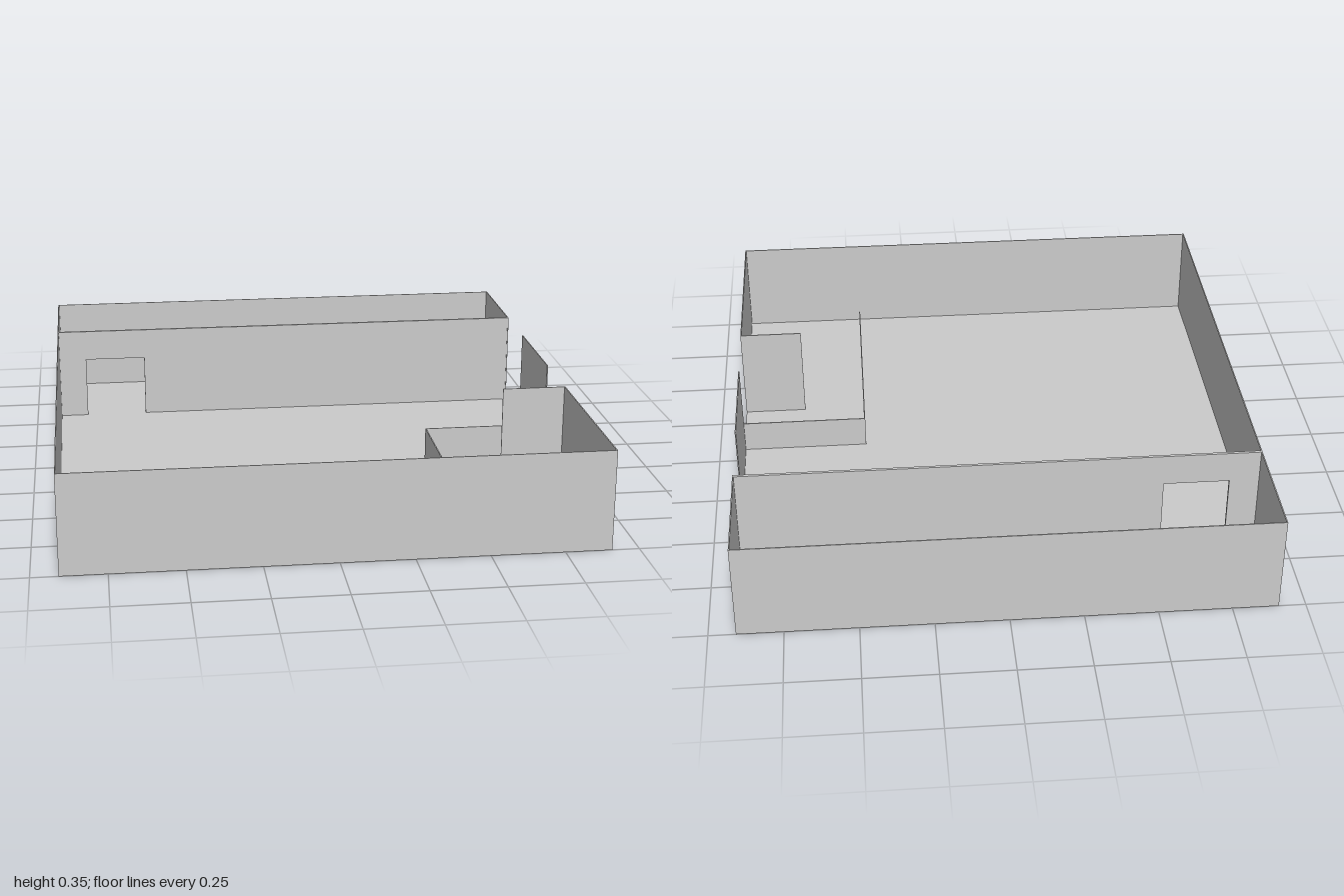
import * as THREE from 'three';

const W = 0.908; // half width
const H = 0.35; // wall height
const T = 0.004; // sheet thickness

export function createModel() {
  const model = new THREE.Group();
  const material = new THREE.MeshStandardMaterial({ color: 0xcccccc, flatShading: true });

  // Axis-aligned slab given by its limits
  function slab(name, x0, x1, y0, y1, z0, z1) {
    const mesh = new THREE.Mesh(new THREE.BoxGeometry(x1 - x0, y1 - y0, z1 - z0), material);
    mesh.position.set((x0 + x1) / 2, (y0 + y1) / 2, (z0 + z1) / 2);
    mesh.name = name;
    model.add(mesh);
  }

  slab('floor', -W, W, 0, T, -1, 1);

  // Outer walls; the left side has two full-height openings
  slab('frontWall', -W, W, 0, H, 1 - T, 1);
  slab('backWall', -W, W, 0, H, -1, -1 + T);
  slab('rightWall', -W, -W + T, 0, H, -1, 1);
  [[0.325, 1], [-0.33, 0.07], [-1, -0.585]].forEach(([z0, z1], i) =>
    slab(`leftWall${i + 1}`, W - T, W, 0, H, z0, z1));

  // Partition with a doorway near its right end
  const outline = new THREE.Shape([
    [-W, 0], [-0.8, 0], [-0.8, 0.235], [-0.57, 0.235], [-0.57, 0], [W, 0], [W, H], [-W, H],
  ].map(([x, y]) => new THREE.Vector2(x, y)));
  const partition = new THREE.Mesh(
    new THREE.ExtrudeGeometry(outline, { depth: 0.01, bevelEnabled: false }), material);
  partition.position.z = -0.597;
  partition.name = 'partition';
  model.add(partition);

  // Entrance corner: tall screen and L-shaped low wall
  slab('entranceScreen', 0.68, W, 0, H, 0.323, 0.323 + T);
  slab('lowWallAcross', 0.45, W, 0, 0.12, 0.066, 0.066 + T);
  slab('lowWallAlong', 0.45, 0.45 + T, 0, 0.12, 0.066, 0.86);

  return model;
}
